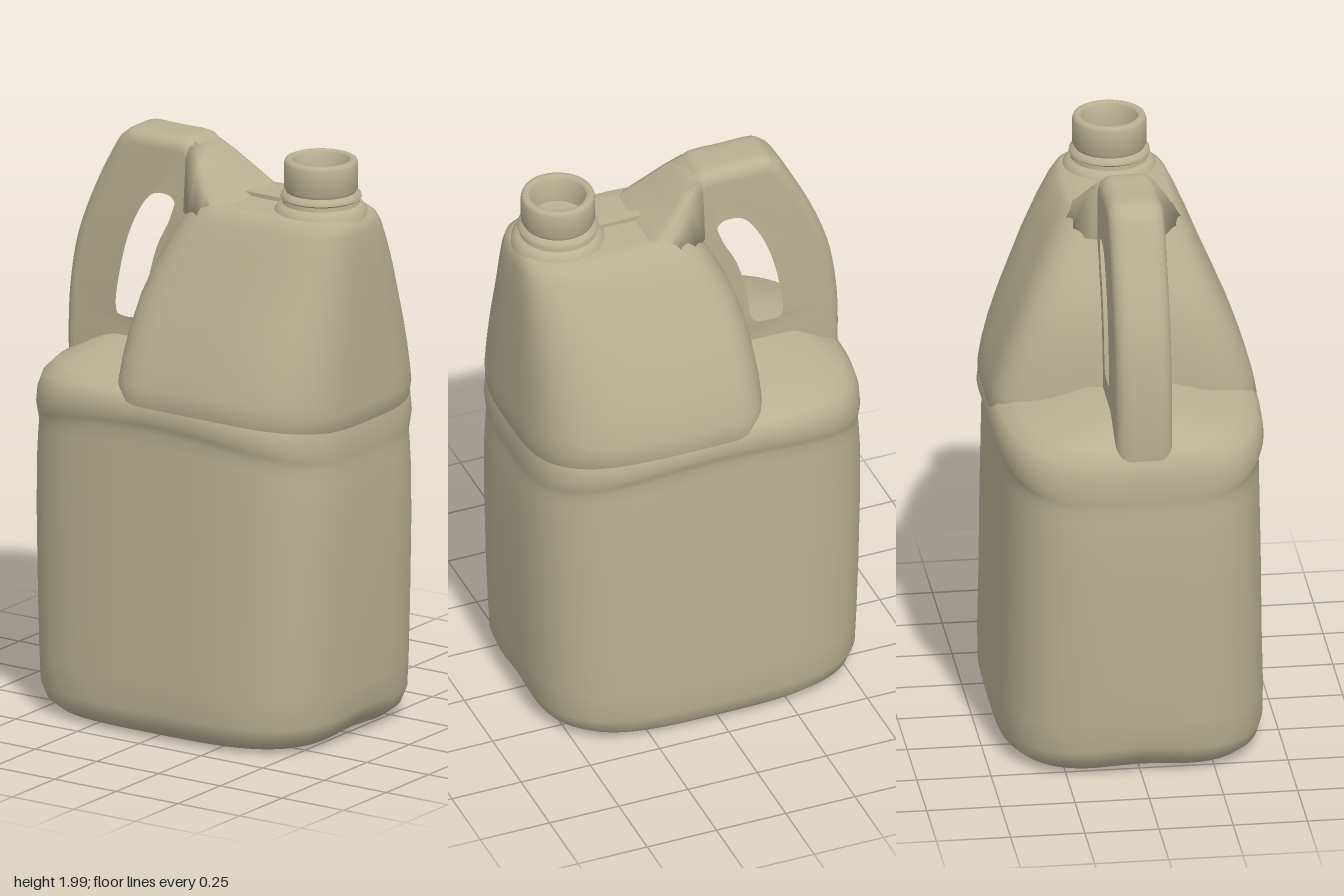
import * as THREE from 'three';
import { toCreasedNormals } from 'three/addons/utils/BufferGeometryUtils.js';

const SIDES = 80;

// Skin a stack of closed rings (arrays of Vector3) and cap both ends
function loft(rings) {
  const n = rings[0].length, pos = [], idx = [];
  rings.forEach(r => r.forEach(p => pos.push(p.x, p.y, p.z)));
  for (let i = 0; i < rings.length - 1; i++) {
    for (let j = 0; j < n; j++) {
      const a = i * n + j, b = i * n + (j + 1) % n;
      idx.push(a, a + n, b, b, a + n, b + n);
    }
  }
  [0, rings.length - 1].forEach(i => {
    const c = new THREE.Vector3();
    rings[i].forEach(p => c.addScaledVector(p, 1 / n));
    const k = pos.length / 3;
    pos.push(c.x, c.y, c.z);
    for (let j = 0; j < n; j++) {
      const a = i * n + j, b = i * n + (j + 1) % n;
      if (i === 0) idx.push(k, a, b); else idx.push(k, b, a);
    }
  });
  const g = new THREE.BufferGeometry();
  g.setAttribute('position', new THREE.Float32BufferAttribute(pos, 3));
  g.setIndex(idx);
  g.computeVertexNormals();
  return g;
}

// Bulging rounded rectangle; the widest point sits at x = c
function ring(y, xl, xr, hz, c = 0, zc = 0, move = () => 0) {
  const pow = v => Math.sign(v) * Math.abs(v) ** (2 / 3.5);
  return Array.from({ length: SIDES }, (_, j) => {
    const t = (j / SIDES) * Math.PI * 2, u = pow(Math.cos(t));
    const x = c + u * (u > 0 ? xr - c : c - xl), z = zc + hz * pow(Math.sin(t));
    return new THREE.Vector3(x, y + move(x, z), z);
  });
}

export function createModel() {
  const group = new THREE.Group();
  const plastic = new THREE.MeshStandardMaterial({ color: 0xb8b092 });
  plastic.name = 'beige plastic';
  const add = (name, geometry) => {
    const m = new THREE.Mesh(geometry, plastic);
    m.name = name;
    group.add(m);
    return m;
  };

  // Lower tank: [y, half width, half depth, arch of the seam, foot notch]
  const lower = [
    [0.012, 0.3, 0.22, 0, 0], [0.008, 0.46, 0.35, 0, 0.01], [0.02, 0.52, 0.41, 0, 0.025],
    [0.05, 0.558, 0.44, 0, 0.03], [0.1, 0.578, 0.453, 0, 0.02], [0.2, 0.583, 0.455, 0, 0],
    [0.4, 0.592, 0.45, 0, 0], [0.7, 0.6, 0.446, 0, 0], [0.9, 0.6, 0.442, 0.03, 0],
    [1.03, 0.596, 0.44, 0.09, 0], [1.075, 0.593, 0.438, 0.09, 0], [1.1, 0.594, 0.446, 0.09, 0],
    [1.13, 0.597, 0.456, 0.08, 0], [1.17, 0.594, 0.45, 0.06, 0], [1.2, 0.58, 0.43, 0.04, 0],
    [1.225, 0.55, 0.38, 0.03, 0], [1.245, 0.5, 0.28, 0.03, 0], [1.285, 0.42, 0.14, 0.02, 0],
  ];
  add('lowerTank', loft(lower.map(([y, a, b, arch, notch]) => ring(y, -a, a, b, 0, 0,
    (x, z) => notch * Math.exp(-((z / 0.14) ** 2)) * (x / 0.6) ** 4 - arch * (x / 0.6) ** 2))));

  // Tapering upper tank: [y, left x, right x, half depth, centre x, centre z]
  const upper = [
    [1.05, -0.19, 0.59, 0.42, 0, 0], [1.17, -0.215, 0.596, 0.453, 0, 0],
    [1.23, -0.215, 0.594, 0.442, 0.01, 0], [1.3, -0.212, 0.592, 0.423, 0.02, 0],
    [1.4, -0.2, 0.59, 0.388, 0.03, 0], [1.5, -0.182, 0.587, 0.346, 0.05, 0],
    [1.6, -0.15, 0.584, 0.302, 0.08, 0], [1.7, -0.1, 0.58, 0.255, 0.12, 0.005],
    [1.77, -0.065, 0.575, 0.217, 0.16, 0.01], [1.805, -0.045, 0.565, 0.193, 0.2, 0.015],
    [1.822, -0.02, 0.545, 0.172, 0.2, 0.015], [1.824, 0.05, 0.5, 0.13, 0.22, 0.015],
  ];
  add('upperTank', loft(upper.map(r => ring(...r))));

  // Ridge falling from the handle to the flat top: [x, top, top half width, foot half width]
  const ridge = [
    [-0.075, 1.99, 0.085, 0.12], [-0.02, 1.952, 0.105, 0.18], [0.04, 1.895, 0.135, 0.21],
    [0.1, 1.843, 0.16, 0.212], [0.15, 1.815, 0.165, 0.2],
  ];
  add('ridge', loft(ridge.map(([x, top, w, foot]) => {
    const half = [[foot, 1.76], [w + 0.02, top - 0.05], [w, top - 0.018], [w - 0.03, top]];
    const mirrored = half.map(([z, y]) => [-z, y]).reverse();
    return [...half, ...mirrored].map(([z, y]) => new THREE.Vector3(x, y, z + 0.012));
  })));

  // Handle: rounded plate with a grip opening
  const outer = new THREE.SplineCurve([
    [-0.575, 1.1], [-0.58, 1.25], [-0.572, 1.42], [-0.54, 1.6], [-0.47, 1.78], [-0.385, 1.94],
    [-0.35, 1.98], [-0.31, 2], [-0.2, 2], [-0.1, 2], [-0.06, 1.98], [0, 1.92], [0.08, 1.84],
  ].map(p => new THREE.Vector2(...p))).getPoints(48);
  const shape = new THREE.Shape([...outer,
    new THREE.Vector2(0.1, 1.7), new THREE.Vector2(0.1, 1.1)]);
  const opening = new THREE.CatmullRomCurve3([
    [-0.41, 1.36], [-0.392, 1.52], [-0.345, 1.68], [-0.275, 1.8], [-0.22, 1.838],
    [-0.13, 1.836], [-0.085, 1.785], [-0.105, 1.7], [-0.155, 1.6], [-0.19, 1.48],
    [-0.208, 1.36], [-0.25, 1.31], [-0.38, 1.31],
  ].map(([x, y]) => new THREE.Vector3(x, y, 0)), true).getPoints(60).slice(0, -1);
  shape.holes.push(new THREE.Path(opening.map(p => new THREE.Vector2(p.x, p.y))));
  const handle = new THREE.ExtrudeGeometry(shape, {
    depth: 0.09, bevelEnabled: true, bevelThickness: 0.05, bevelSize: 0.045,
    bevelOffset: -0.045, bevelSegments: 5, curveSegments: 1,
  });
  handle.translate(0, 0, -0.035);
  add('handle', toCreasedNormals(handle, 0.9));

  // Open neck with collar, thread bead and recessed floor
  const neck = new THREE.LatheGeometry([
    [0.16, 1.8], [0.155, 1.828], [0.142, 1.842], [0.13, 1.848], [0.128, 1.862], [0.136, 1.868],
    [0.134, 1.878], [0.118, 1.888], [0.124, 1.9], [0.124, 1.985], [0.12, 1.996], [0.112, 2],
    [0.1, 2], [0.092, 1.992], [0.09, 1.9], [0.0001, 1.895],
  ].map(p => new THREE.Vector2(...p)), 48);
  add('neck', toCreasedNormals(neck, 0.9)).position.set(0.405, 0, 0.017);

  // Small rib joining the neck to the ridge
  add('topRib', new THREE.BoxGeometry(0.2, 0.03, 0.035)).position.set(0.19, 1.823, 0.015);

  return group;
}
